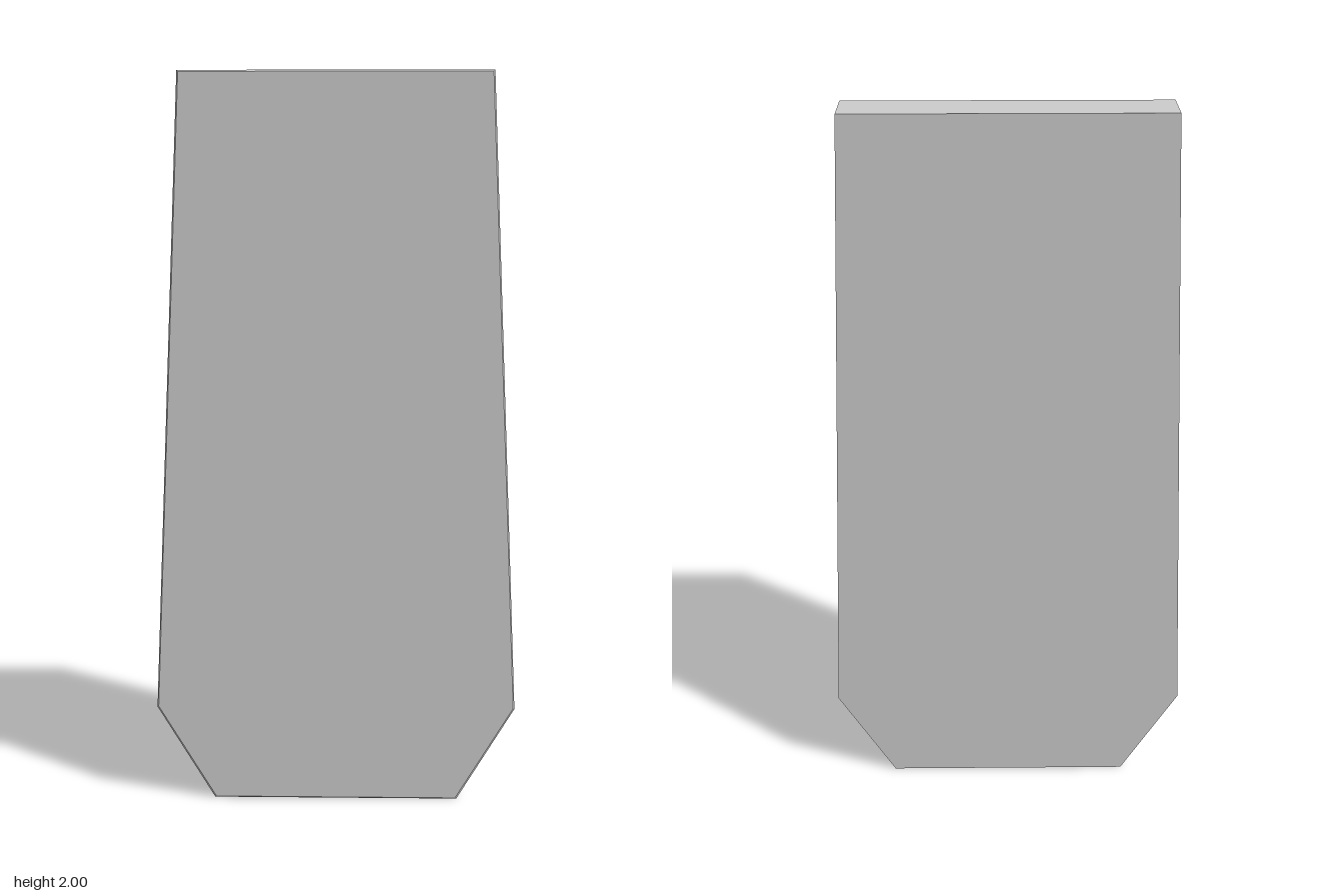
import * as THREE from 'three';

export function createModel() {
  const group = new THREE.Group();
  group.name = 'taperedPanel';

  // Right half of the outline, mirrored to close the shape
  const half = [[0.342, 0], [0.5, 0.27], [0.409, 2]];
  const mirrored = half.map(([x, y]) => [-x, y]).reverse();
  const outline = [...half, ...mirrored].map(([x, y]) => new THREE.Vector2(x, y));

  const depth = 0.126, edge = 0.004;
  const geometry = new THREE.ExtrudeGeometry(new THREE.Shape(outline), {
    depth, steps: 2, bevelEnabled: false,
  });
  geometry.translate(0, 0, -depth / 2);

  // Fine chamfer around the front face only
  const p = geometry.attributes.position;
  for (let i = 0; i < p.count; i++) {
    const z = p.getZ(i);
    if (Math.abs(z) < 1e-4) p.setZ(i, depth / 2 - edge);
    else if (z > 0) {
      p.setX(i, p.getX(i) - Math.sign(p.getX(i)) * edge);
      p.setY(i, 1 + (p.getY(i) - 1) * (1 - edge));
    }
  }
  geometry.computeVertexNormals();

  const panel = new THREE.Mesh(
    geometry,
    new THREE.MeshStandardMaterial({ color: 0xcccccc, flatShading: true })
  );
  panel.name = 'panel';
  group.add(panel);
  return group;
}
